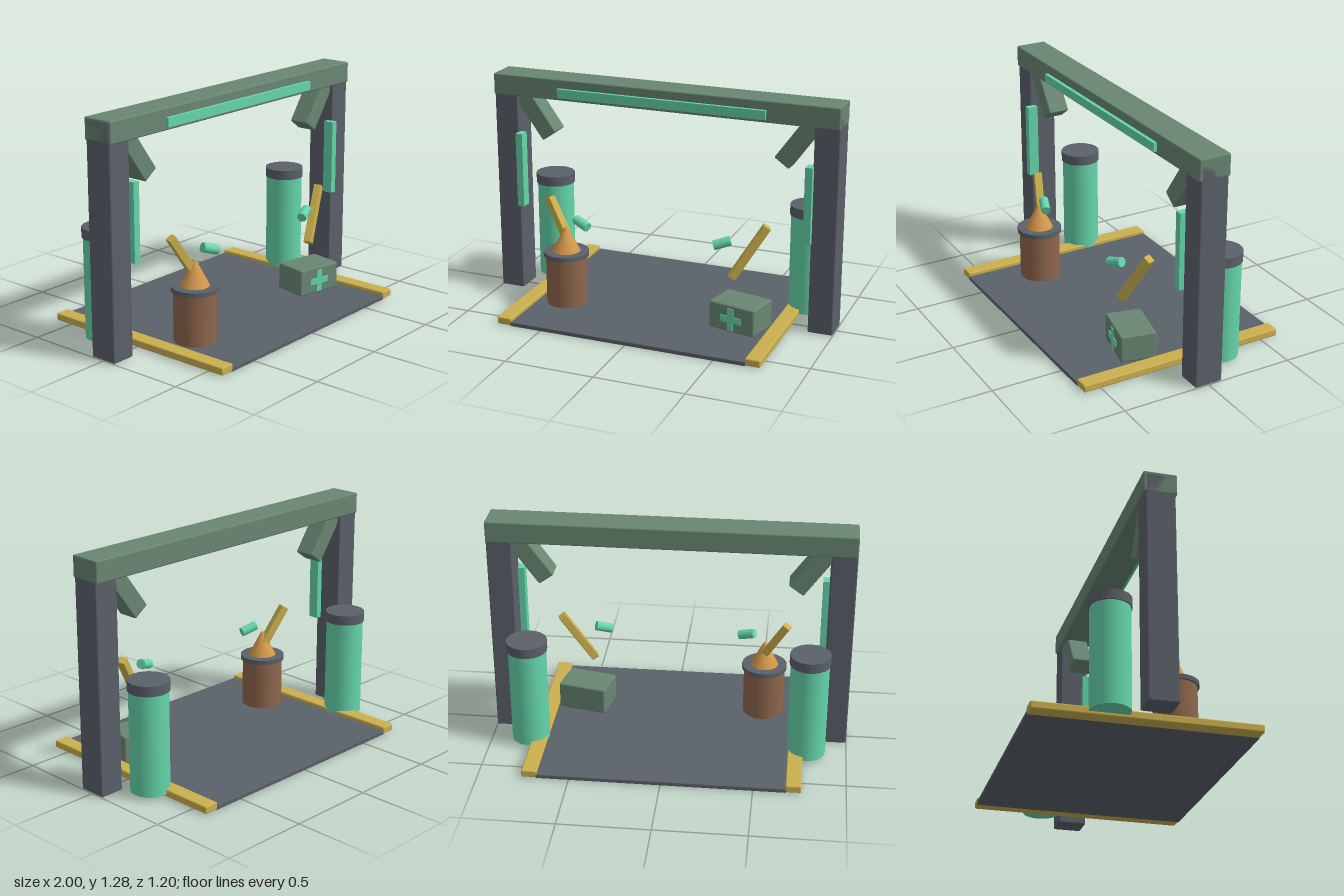
import * as THREE from 'three';
import { RoundedBoxGeometry } from 'three/addons/geometries/RoundedBoxGeometry.js';

function makeMaterial(name, color) {
  const material = new THREE.MeshStandardMaterial({ color });
  material.name = name;
  return material;
}

export function createModel() {
  const slate = makeMaterial('slate', 0x5b616a);
  const sage = makeMaterial('sage green', 0x698773);
  const mint = makeMaterial('mint', 0x65d6ab);
  const yellow = makeMaterial('mustard', 0xcbb04e);
  const brown = makeMaterial('brown', 0x8f674d);
  const orange = makeMaterial('orange', 0xd4984c);

  const model = new THREE.Group();
  model.name = 'supplyGate';

  function add(name, geometry, material, x, y, z, parent = model) {
    const mesh = new THREE.Mesh(geometry, material);
    mesh.name = name;
    mesh.position.set(x, y, z);
    parent.add(mesh);
    return mesh;
  }
  const box = (w, h, d) => new THREE.BoxGeometry(w, h, d);
  const chamfered = (w, h, d, r = 0.008) => new RoundedBoxGeometry(w, h, d, 2, r);
  const cylinder = (r, h, sides = 20, top = r) => new THREE.CylinderGeometry(top, r, h, sides);

  // Floor and overhead beam
  add('floor', chamfered(1.36, 0.024, 1.2, 0.004), slate, 0, 0.012, 0);
  add('beam', chamfered(2, 0.12, 0.18), sage, 0, 1.22, 0);
  add('beamLight', box(1.2, 0.05, 0.03), mint, 0, 1.205, 0.095);

  // Parts mirrored on both sides
  for (const s of [-1, 1]) {
    const side = s > 0 ? 'left' : 'right';
    add(side + 'Rail', chamfered(0.085, 0.042, 1.2), yellow, s * 0.717, 0.024, 0);
    add(side + 'Post', chamfered(0.14, 1.27, 0.16), slate, s * 0.93, 0.637, 0);
    add(side + 'PostLight', box(0.04, 0.43, 0.06), mint, s * 0.845, 0.732, 0.08);

    const brace = add(side + 'Brace', chamfered(0.1, 0.3, 0.12), sage, s * 0.767, 1.06, 0);
    brace.rotation.z = -s * 0.62;

    // Capped canister behind the post
    add(side + 'Canister', cylinder(0.106, 0.56), mint, s * 0.776, 0.3, -0.206);
    add(side + 'CanisterCap', cylinder(0.112, 0.056, 24), slate, s * 0.776, 0.608, -0.206);

    // Slanted arm with a small mint tube near it
    const arm = add(side + 'Arm', chamfered(0.046, 0.35, 0.046, 0.005), yellow, s * 0.553, 0.463, 0.182);
    arm.rotation.set(0, s * 0.34, -s * 0.565);
    const tube = add(side + 'Tube', cylinder(0.027, 0.095, 14), mint, s * 0.412, 0.509, 0.222);
    tube.rotation.set(0, s * 0.33, -s * 1.27);
  }

  // Barrel with rim and pointed heap
  const barrel = new THREE.Group();
  barrel.name = 'barrel';
  barrel.position.set(-0.517, 0, 0.208);
  model.add(barrel);
  add('barrelBody', cylinder(0.117, 0.285), brown, 0, 0.166, 0, barrel);
  add('barrelRim', cylinder(0.128, 0.026, 24), slate, 0, 0.317, 0, barrel);
  add('barrelCone', cylinder(0.08, 0.14, 16, 0.008), orange, 0, 0.398, 0, barrel);

  // Turned medical case with a cross on its front
  const medicalCase = new THREE.Group();
  medicalCase.name = 'medicalCase';
  medicalCase.position.set(0.51, 0.102, 0.183);
  medicalCase.rotation.y = -0.21;
  model.add(medicalCase);
  add('caseBody', chamfered(0.28, 0.156, 0.2, 0.01), sage, 0, 0, 0, medicalCase);
  const a = 0.018, b = 0.064;
  const cross = new THREE.Shape([
    [-a, -b], [a, -b], [a, -a], [b, -a], [b, a], [a, a],
    [a, b], [-a, b], [-a, a], [-b, a], [-b, -a], [-a, -a],
  ].map(([x, y]) => new THREE.Vector2(x, y)));
  add('caseCross', new THREE.ExtrudeGeometry(cross, { depth: 0.006, bevelEnabled: false }),
    mint, -0.003, -0.004, 0.099, medicalCase);

  return model;
}
